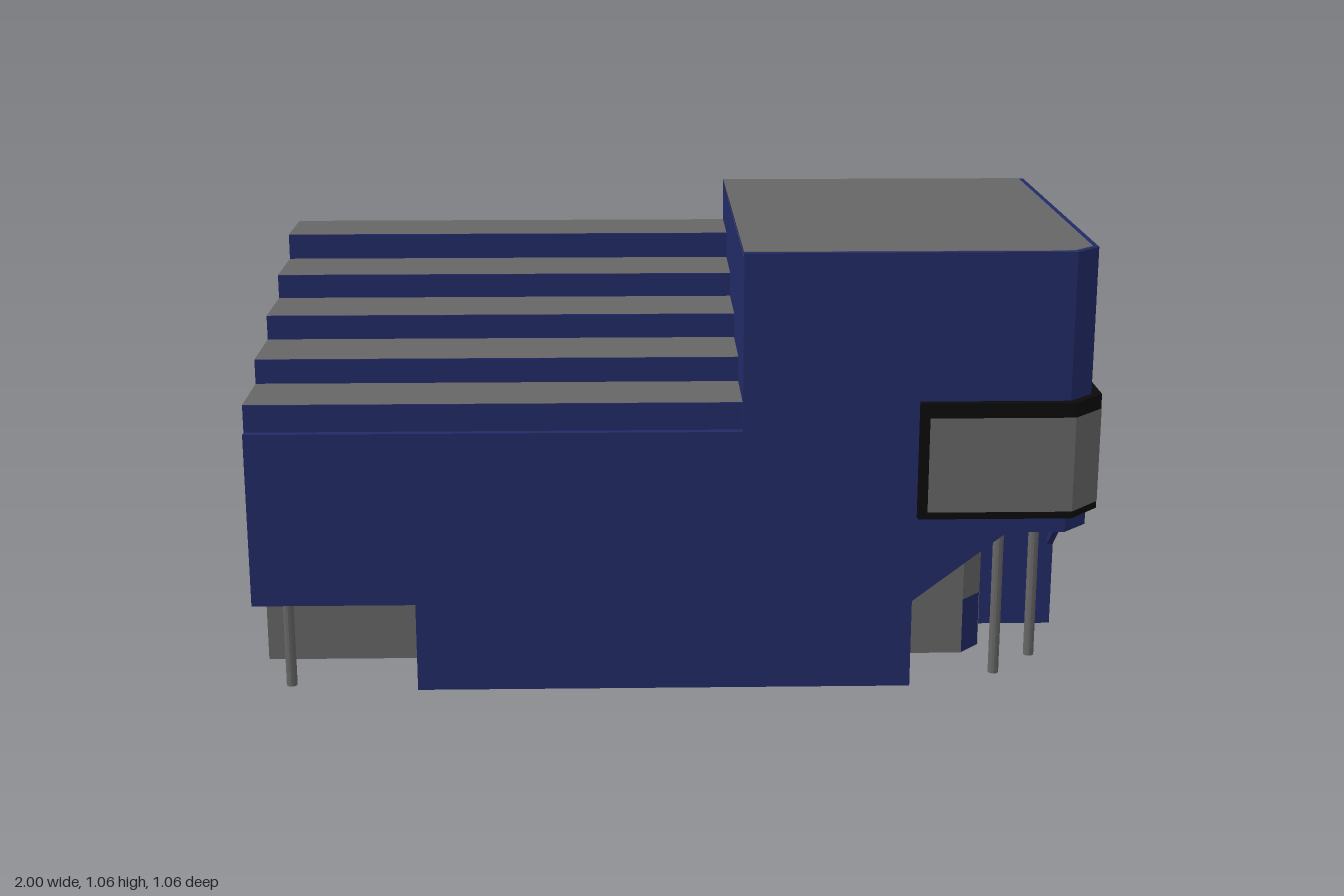
import * as THREE from 'three';

const material = (color, side = THREE.FrontSide) => new THREE.MeshStandardMaterial({ color, side, flatShading: true });

export function createModel() {
  const model = new THREE.Group();
  const navy = material(0x222a66);
  const grey = material(0x666666);
  const greySheet = material(0x666666, THREE.DoubleSide);
  const black = material(0x0a0a0a);

  const add = (name, geometry, mat) => {
    const mesh = new THREE.Mesh(geometry, mat);
    mesh.name = name;
    model.add(mesh);
    return mesh;
  };
  const outline = (points) => new THREE.Shape(points.map(([a, b]) => new THREE.Vector2(a, b)));

  // Floor plan of [x, z] points raised from y0 to y1
  const raise = (name, plan, y0, y1, mat) => {
    const g = new THREE.ExtrudeGeometry(outline(plan.map(([x, z]) => [x, -z])), { depth: y1 - y0, bevelEnabled: false });
    g.rotateX(-Math.PI / 2).translate(0, y0, 0);
    return add(name, g, mat);
  };
  // Side profile of [z, y] points drawn along x from x0 to x1
  const draw = (name, profile, x0, x1, mat) => {
    const g = new THREE.ExtrudeGeometry(outline(profile.map(([z, y]) => [-z, y])), { depth: x1 - x0, bevelEnabled: false });
    g.rotateY(Math.PI / 2).translate(x0, 0, 0);
    return add(name, g, mat);
  };
  // Upright sheet between two [x, z] points
  const sheet = (name, [xa, za], [xb, zb], y0, y1, mat) => {
    const g = new THREE.PlaneGeometry(Math.hypot(xb - xa, zb - za), y1 - y0);
    g.rotateY(Math.atan2(za - zb, xb - xa)).translate((xa + xb) / 2, (y0 + y1) / 2, (za + zb) / 2);
    return add(name, g, mat);
  };

  const back = -0.53, front = 0.505, right = 0.975, split = 0.155;
  const soffit = 0.385, overhang = 0.215, top = 1.055;

  // Ground storey with the entrance recess at one corner and the porch at the other
  const entrance = [[0.56, front], [0.56, 0.295], [0.715, 0.295], [0.765, 0.24], [0.765, 0.095], [right, 0.095]];
  raise('groundStorey', [[-1, back], [-1, 0.3], [-0.615, 0.3], [-0.615, front], ...entrance, [right, back]], 0, overhang, navy);
  raise('middleStorey', [[-1, back], [-1, front], ...entrance, [right, back]], overhang, soffit, navy);

  // Tower with chamfered corner and inset roof
  raise('tower', [[split, back], [split, front], [0.915, front], [right, 0.445], [right, back]], soffit, top, navy);
  raise('towerRoof', [[split, back], [split, 0.49], [0.91, 0.49], [0.962, 0.438], [0.962, back]], top - 0.01, top + 0.001, grey);

  // Stepped wing and its flat roof treads
  const edges = [0.485, 0.29, 0.085, -0.12, -0.33, back];
  const heights = [0.7, 0.76, 0.82, 0.88, 0.945];
  const profile = [[back, soffit], [front, soffit], [front, 0.635], [edges[0], 0.635]];
  heights.forEach((y, i) => profile.push([edges[i], y], [edges[i + 1], y]));
  draw('steppedWing', profile, -1, split, navy);
  heights.forEach((y, i) => {
    const g = new THREE.PlaneGeometry(split + 1, edges[i] - edges[i + 1]);
    g.rotateX(-Math.PI / 2).translate((split - 1) / 2, y + 0.001, (edges[i] + edges[i + 1]) / 2);
    add('roofTread', g, grey);
  });

  // Thin sloping brackets over the entrance, one on each street side
  const bracket = new THREE.ExtrudeGeometry(outline([[0.56, overhang], [0.78, soffit], [0.56, soffit]]), { depth: 0.015, bevelEnabled: false });
  add('frontBracket', bracket.translate(0, 0, front - 0.015), navy);
  draw('sideBracket', [[0.095, overhang], [0.295, soffit], [0.095, soffit]], right - 0.015, right, navy);

  // Entrance walls, door and kick panel
  const e = 0.001;
  sheet('entranceFrontWall', [0.56, 0.295 + e], [0.715 + e, 0.295 + e], 0, soffit, greySheet);
  sheet('entranceDoor', [0.715 + e, 0.295 + e], [0.765 + e, 0.24 + e], 0.14, soffit, greySheet);
  sheet('entranceSideWall', [0.765 + e, 0.24 + e], [0.765 + e, 0.095], 0, soffit, greySheet);

  // Porch back wall
  sheet('porchWall', [-1, 0.3 + e], [-0.615, 0.3 + e], 0, overhang, greySheet);

  // Round columns
  for (const [x, z, h] of [[0.775, 0.422, soffit], [0.882, 0.308, soffit], [-0.92, 0.465, overhang]]) {
    add('column', new THREE.CylinderGeometry(0.013, 0.013, h, 12).translate(x, h / 2, z), grey);
  }

  // Window wrapped round the chamfered corner
  raise('windowFrame', [[0.565, 0.5], [0.565, 0.525], [0.925, 0.525], [1, 0.445], [1, 0.3], [0.97, 0.3], [0.97, 0.44], [0.91, 0.5]], 0.425, 0.705, black);
  const glass = [[0.587, 0.526], [0.9254, 0.526], [1.001, 0.4454], [1.001, 0.316]];
  for (let i = 0; i < 3; i++) sheet('windowGlass', glass[i], glass[i + 1], 0.442, 0.67, greySheet);

  return model;
}
